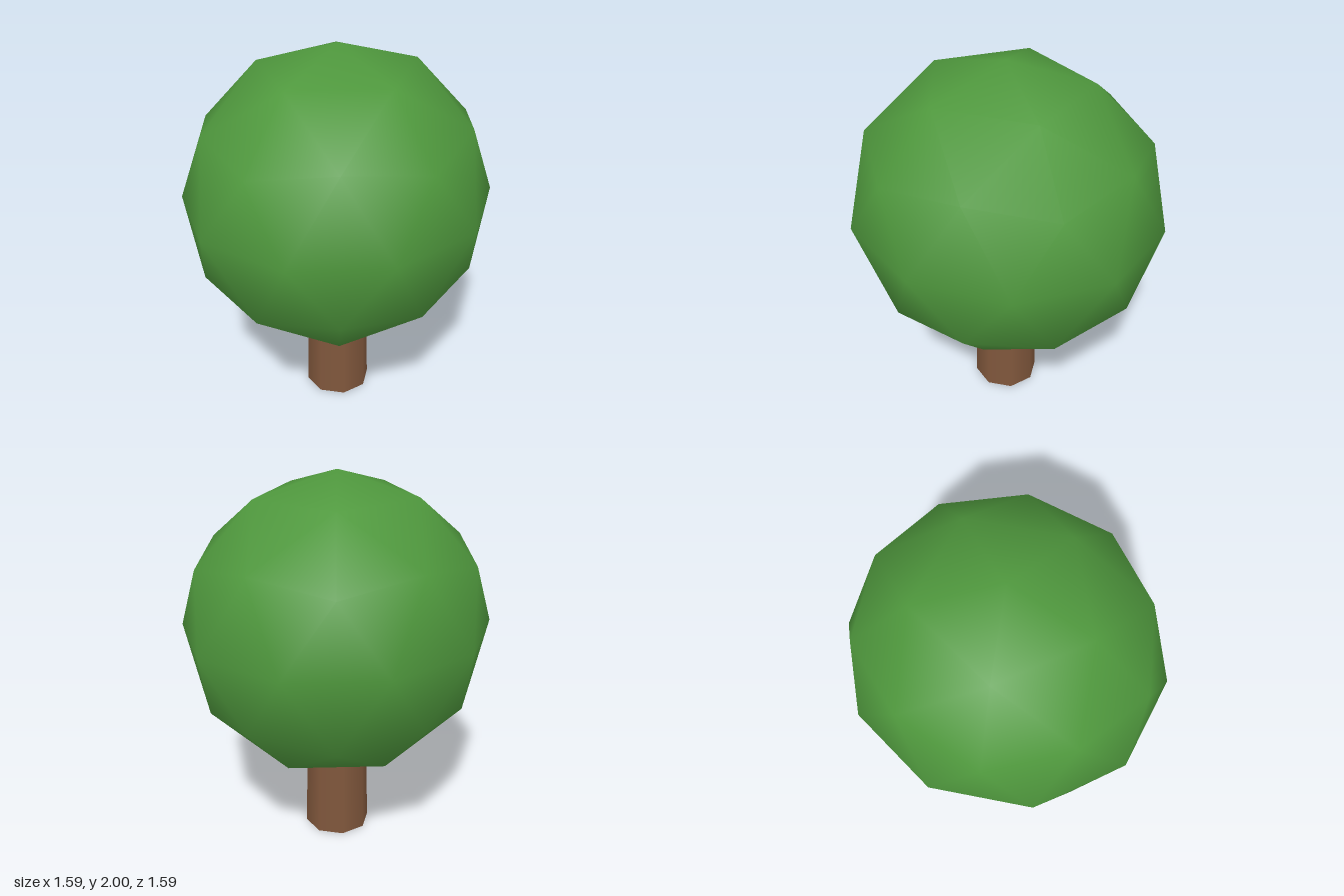
import * as THREE from 'three';

// Faceted ball with a pole on top, its lowest point pressed flat
function crownGeometry() {
  const geo = new THREE.IcosahedronGeometry(1, 1);
  geo.rotateX(-Math.atan((1 + Math.sqrt(5)) / 2));
  const pos = geo.attributes.position;
  const normals = geo.attributes.normal;
  const cut = -0.8507; // height of the lowest ring
  for (let i = 0; i < pos.count; i += 3) {
    const corners = [i, i + 1, i + 2];
    const isBase = corners.some((k) => pos.getY(k) < -0.99);
    for (const k of corners) {
      if (isBase) normals.setXYZ(k, 0, -1, 0);
      else normals.setXYZ(k, pos.getX(k), pos.getY(k), pos.getZ(k));
    }
    for (const k of corners) if (pos.getY(k) < cut) pos.setY(k, cut);
  }
  geo.scale(0.795, 0.795, 0.835);
  geo.translate(0, 1.205, 0);
  return geo;
}

export function createModel() {
  const tree = new THREE.Group();
  tree.name = 'tree';

  // Leafy crown
  const crown = new THREE.Mesh(
    crownGeometry(),
    new THREE.MeshStandardMaterial({ color: 0x4f983d })
  );
  crown.name = 'crown';
  tree.add(crown);

  // Tapered eight-sided trunk, open at the ends
  const height = 0.54;
  const trunkGeo = new THREE.CylinderGeometry(0.165, 0.178, height, 8, 1, true);
  trunkGeo.translate(0, height / 2, 0);
  const trunk = new THREE.Mesh(
    trunkGeo,
    new THREE.MeshStandardMaterial({ color: 0x80573c, side: THREE.DoubleSide })
  );
  trunk.name = 'trunk';
  tree.add(trunk);

  return tree;
}
